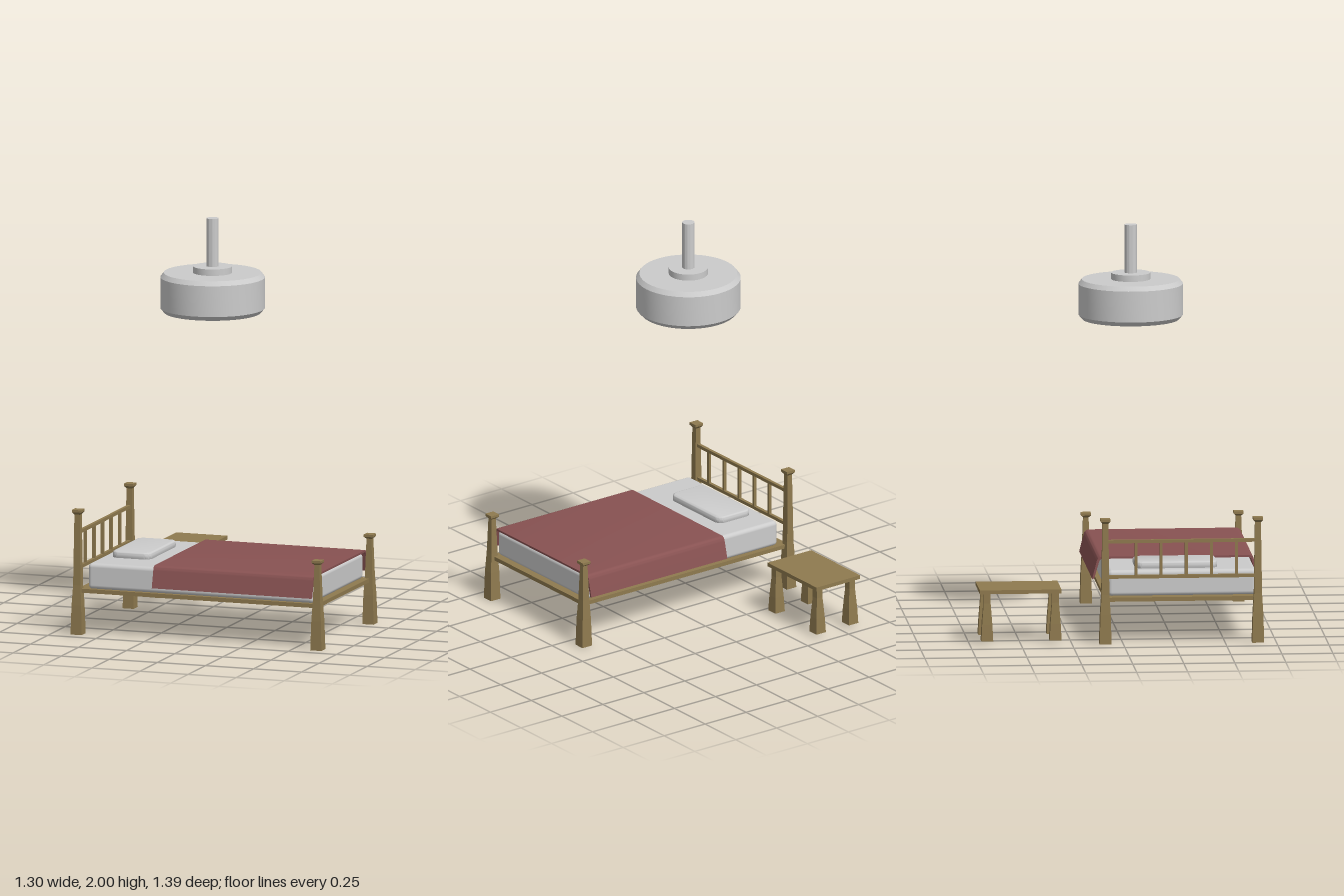
import * as THREE from 'three';
import { toCreasedNormals } from 'three/addons/utils/BufferGeometryUtils.js';
import { RoundedBoxGeometry } from 'three/addons/geometries/RoundedBoxGeometry.js';

const wood = new THREE.MeshStandardMaterial({ color: 0x8f7a4f, flatShading: true });
const grey = new THREE.MeshStandardMaterial({ color: 0xcccccc });
const red = new THREE.MeshStandardMaterial({ color: 0x885252 });
const yellow = new THREE.MeshStandardMaterial({ color: 0xd9b010, side: THREE.DoubleSide });

function add(parent, name, geometry, material, x = 0, y = 0, z = 0) {
  const mesh = new THREE.Mesh(geometry, material);
  mesh.name = name;
  mesh.position.set(x, y, z);
  parent.add(mesh);
  return mesh;
}

// Box given by its minimum and maximum corners
function box(parent, name, material, [x0, y0, z0], [x1, y1, z1], radius = 0) {
  const w = x1 - x0, h = y1 - y0, d = z1 - z0;
  const geometry = radius ? new RoundedBoxGeometry(w, h, d, 3, radius) : new THREE.BoxGeometry(w, h, d);
  return add(parent, name, geometry, material, (x0 + x1) / 2, (y0 + y1) / 2, (z0 + z1) / 2);
}

// Square turned post from [half width, height] pairs, closed at both ends
function squarePost(profile) {
  const pts = [[0, profile[0][1]], ...profile, [0, profile[profile.length - 1][1]]];
  return new THREE.LatheGeometry(pts.map(([r, y]) => new THREE.Vector2(r * Math.SQRT2, y)), 4, Math.PI / 4);
}

function createBed() {
  const bed = new THREE.Group();
  bed.name = 'bed';
  const midZ = 0.287;

  // Corner posts with flared caps
  const lower = [[0.029, 0.005], [0.025, 0.15], [0.019, 0.25]];
  const headPost = squarePost([...lower, [0.017, 0.4], [0.014, 0.6], [0.024, 0.612], [0.024, 0.624]]);
  const footPost = squarePost([...lower, [0.013, 0.428], [0.024, 0.438], [0.024, 0.45]]);
  for (const z of [midZ - 0.374, midZ + 0.374]) {
    add(bed, 'headPost', headPost, wood, -0.625, 0, z);
    add(bed, 'footPost', footPost, wood, 0.621, 0, z);
  }

  // Headboard rails and spindles
  for (const y of [0.51, 0.335]) {
    box(bed, 'headRail', wood, [-0.633, y - 0.008, midZ - 0.374], [-0.617, y + 0.008, midZ + 0.374]);
  }
  for (let i = -2; i <= 2; i++) {
    const z = 0.31 + i * 0.123;
    box(bed, 'headSpindle', wood, [-0.632, 0.335, z - 0.007], [-0.618, 0.51, z + 0.007]);
  }

  // Bed base, mattress
  box(bed, 'bedBase', wood, [-0.625, 0.212, -0.088], [0.623, 0.232, 0.669]);
  box(bed, 'mattress', grey, [-0.577, 0.23, -0.07], [0.594, 0.358, 0.656], 0.02);

  // Pillow: rounded rectangle with a soft edge
  const hw = 0.09, hd = 0.19, r = 0.028;
  const outline = new THREE.Shape();
  outline.absarc(hw - r, hd - r, r, 0, Math.PI / 2);
  outline.absarc(-hw + r, hd - r, r, Math.PI / 2, Math.PI);
  outline.absarc(-hw + r, -hd + r, r, Math.PI, Math.PI * 1.5);
  outline.absarc(hw - r, -hd + r, r, Math.PI * 1.5, Math.PI * 2);
  const pillow = new THREE.ExtrudeGeometry(outline, {
    depth: 0.014, bevelThickness: 0.013, bevelSize: 0.012, bevelSegments: 4, curveSegments: 6,
  });
  pillow.rotateX(-Math.PI / 2);
  add(bed, 'pillow', toCreasedNormals(pillow, 0.7), grey, -0.422, 0.363, 0.27);

  // Blanket: thin draped section swept along the bed, flaring at the hems
  const drape = new THREE.Shape();
  drape.moveTo(-0.408, 0.262);
  drape.lineTo(-0.398, 0.262);
  drape.lineTo(-0.372, 0.352);
  drape.lineTo(-0.362, 0.36);
  drape.lineTo(0.362, 0.36);
  drape.lineTo(0.372, 0.352);
  drape.lineTo(0.398, 0.262);
  drape.lineTo(0.408, 0.262);
  drape.lineTo(0.386, 0.347);
  drape.quadraticCurveTo(0.381, 0.37, 0.36, 0.37);
  drape.lineTo(-0.36, 0.37);
  drape.quadraticCurveTo(-0.381, 0.37, -0.386, 0.347);
  drape.closePath();
  const blanket = new THREE.ExtrudeGeometry(drape, { depth: 0.83, bevelEnabled: false, curveSegments: 6 });
  blanket.rotateY(Math.PI / 2);
  add(bed, 'blanket', toCreasedNormals(blanket, 0.6), red, -0.23, 0, midZ);
  return bed;
}

function createTable() {
  const table = new THREE.Group();
  table.name = 'sideTable';
  box(table, 'tableTop', wood, [-0.607, 0.254, -0.7], [-0.341, 0.273, -0.3]);
  const leg = squarePost([[0.029, 0.02], [0.025, 0.1], [0.017, 0.205], [0.017, 0.256]]);
  for (const x of [-0.573, -0.375]) {
    for (const z of [-0.328, -0.663]) add(table, 'tableLeg', leg, wood, x, 0, z);
  }
  return table;
}

function createLamp() {
  const lamp = new THREE.Group();
  lamp.name = 'ceilingLamp';
  lamp.position.set(-0.138, 0, 0.075);
  const lathe = (pts) => toCreasedNormals(
    new THREE.LatheGeometry(pts.map(([r, y]) => new THREE.Vector2(r, y)), 48), 0.5);

  // Drum with chamfered rims and an inner lip, collar and hanging rod
  add(lamp, 'lampHousing', lathe([
    [0.215, 1.6], [0.215, 1.533], [0.237, 1.533], [0.256, 1.555],
    [0.256, 1.708], [0.239, 1.73], [0.09, 1.73],
  ]), grey);
  add(lamp, 'lampCollar', lathe([[0.096, 1.725], [0.096, 1.762], [0, 1.762]]), grey);
  add(lamp, 'lampRod', lathe([[0.03, 1.76], [0.03, 2], [0, 2]]), grey);

  // Shallow domed light cover
  const dome = [];
  for (let i = 0; i <= 10; i++) {
    const r = 0.217 * i / 10;
    dome.push([r, 1.515 + 0.38 - Math.sqrt(0.38 * 0.38 - r * r)]);
  }
  add(lamp, 'lightCover', lathe(dome), yellow);
  return lamp;
}

export function createModel() {
  const model = new THREE.Group();
  model.name = 'bedroomSet';
  model.add(createBed(), createTable(), createLamp());
  return model;
}
